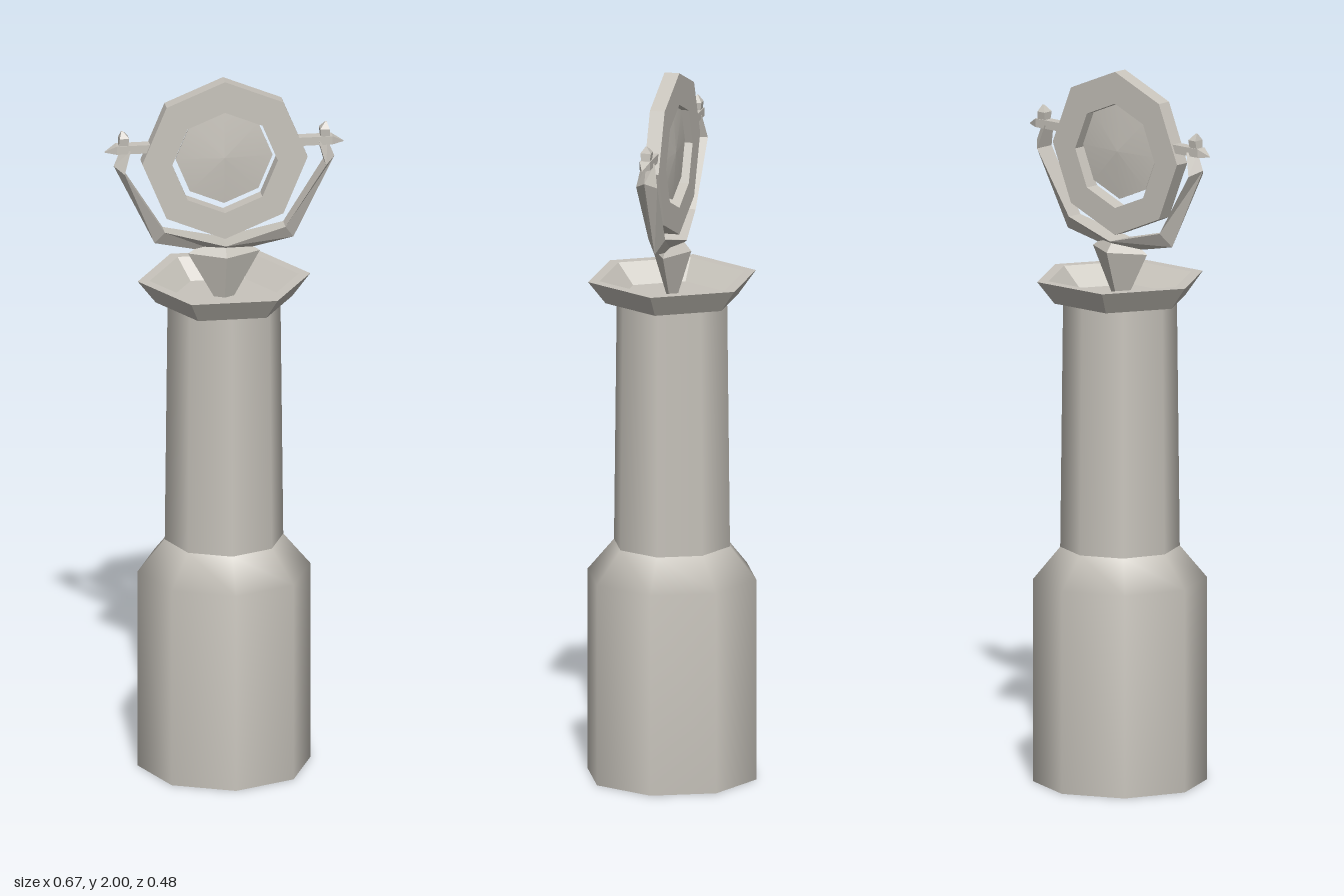
import * as THREE from 'three';

const stone = new THREE.MeshStandardMaterial({ color: 0xc8c4bc, side: THREE.DoubleSide });
stone.name = 'warm grey';

function flat(geometry) {
  const g = geometry.index ? geometry.toNonIndexed() : geometry;
  g.computeVertexNormals();
  return g;
}

// Turned profile with few sides; points run bottom to top on the outside.
function turned(points, sides, start = 0) {
  return new THREE.LatheGeometry(points.map(p => new THREE.Vector2(...p)), sides, start);
}

// Faceted skin through equal-sized cross-sections, capped at both ends.
function loft(sections) {
  const n = sections[0].length, pos = [];
  const tri = (...pts) => pts.forEach(p => pos.push(...p));
  for (let i = 0; i + 1 < sections.length; i++) {
    const a = sections[i], b = sections[i + 1];
    for (let j = 0; j < n; j++) {
      const k = (j + 1) % n;
      tri(a[j], a[k], b[k]);
      tri(a[j], b[k], b[j]);
    }
  }
  const first = sections[0], last = sections[sections.length - 1];
  for (let j = 1; j + 1 < n; j++) {
    tri(first[0], first[j + 1], first[j]);
    tri(last[0], last[j], last[j + 1]);
  }
  const g = new THREE.BufferGeometry();
  g.setAttribute('position', new THREE.Float32BufferAttribute(pos, 3));
  g.computeVertexNormals();
  return g;
}

function octagon(path, r, cy = 0) {
  for (let i = 0; i < 8; i++) {
    const a = i * Math.PI / 4;
    path[i ? 'lineTo' : 'moveTo'](r * Math.cos(a), cy + r * Math.sin(a));
  }
  path.closePath();
  return path;
}

export function createModel() {
  const model = new THREE.Group();
  const add = (name, geometry, parent = model) => {
    const mesh = new THREE.Mesh(geometry, stone);
    mesh.name = name;
    parent.add(mesh);
    return mesh;
  };

  // Hollow eight-sided base with sloping shoulder, and the neck above it
  add('base', turned([[0.24, 0], [0.24, 0.57], [0.165, 0.66]], 8));
  add('neck', turned([[0.165, 0.655], [0.157, 1.36]], 8));

  // Six-sided flared collar with a sunken floor
  add('collar', flat(turned([
    [0.1, 1.356], [0.19, 1.356], [0.24, 1.42], [0.207, 1.42], [0.15, 1.366], [0, 1.366],
  ], 6, Math.PI / 2)));

  // Diamond-shaped foot carrying the bracket
  const foot = turned([[0, 1.36], [0.025, 1.36], [0.1, 1.495], [0.06, 1.522], [0, 1.522]], 4);
  foot.scale(1, 1, 0.55);
  add('foot', flat(foot));

  // Forked bracket: triangular section with the ridge outside
  // [inner x, inner y, half depth, outer x, outer y]
  const half = [
    [0, 1.525, 0.042, 0, 1.49],
    [0.168, 1.568, 0.024, 0.193, 1.53],
    [0.28, 1.745, 0.03, 0.307, 1.762],
    [0.262, 1.81, 0.018, 0.288, 1.81],
  ];
  const mirrored = half.slice(1).reverse().map(([xi, yi, h, xo, yo]) => [-xi, yi, h, -xo, yo]);
  add('bracket', loft([...mirrored, ...half].map(([xi, yi, h, xo, yo]) =>
    [[xi, yi, -h], [xi, yi, h], [xo, yo, 0]])));

  // Pivot pins with pointed ends and small finials
  for (const side of [1, -1]) {
    const pivot = new THREE.Group();
    pivot.name = side > 0 ? 'leftPivot' : 'rightPivot';
    const pin = new THREE.BoxGeometry(0.12, 0.024, 0.03);
    pin.translate(0.24, 1.812, 0);
    add('pin', pin, pivot);
    const rect = (x, y0, y1, z) => [[x, y0, -z], [x, y1, -z], [x, y1, z], [x, y0, z]];
    add('pinTip', loft([rect(0.3, 1.8, 1.824, 0.015), rect(0.333, 1.803, 1.805, 0.0005)]), pivot);
    const level = (y, x0, x1, z) => [[x0, y, z], [x1, y, z], [x1, y, -z], [x0, y, -z]];
    add('finial', loft([
      level(1.822, 0.268, 0.294, 0.012),
      level(1.845, 0.266, 0.292, 0.015),
      level(1.863, 0.281, 0.286, 0.002),
    ]), pivot);
    pivot.rotation.y = side > 0 ? 0 : Math.PI;
    model.add(pivot);
  }

  // Eight-sided ring head with a disc set inside the opening
  const head = new THREE.Group();
  head.name = 'head';
  head.position.y = 1.77;
  const shape = octagon(new THREE.Shape(), 0.23);
  shape.holes.push(octagon(new THREE.Path(), 0.147, -0.007));
  const ring = new THREE.ExtrudeGeometry(shape, { depth: 0.042, bevelEnabled: false });
  ring.translate(0, 0, -0.021);
  add('ring', ring, head);
  const disc = turned([[0, -0.012], [0.135, -0.002], [0.135, 0.002], [0, 0.012]], 8);
  disc.rotateX(Math.PI / 2);
  disc.translate(0, 0.004, 0);
  add('disc', disc, head);
  model.add(head);

  return model;
}
